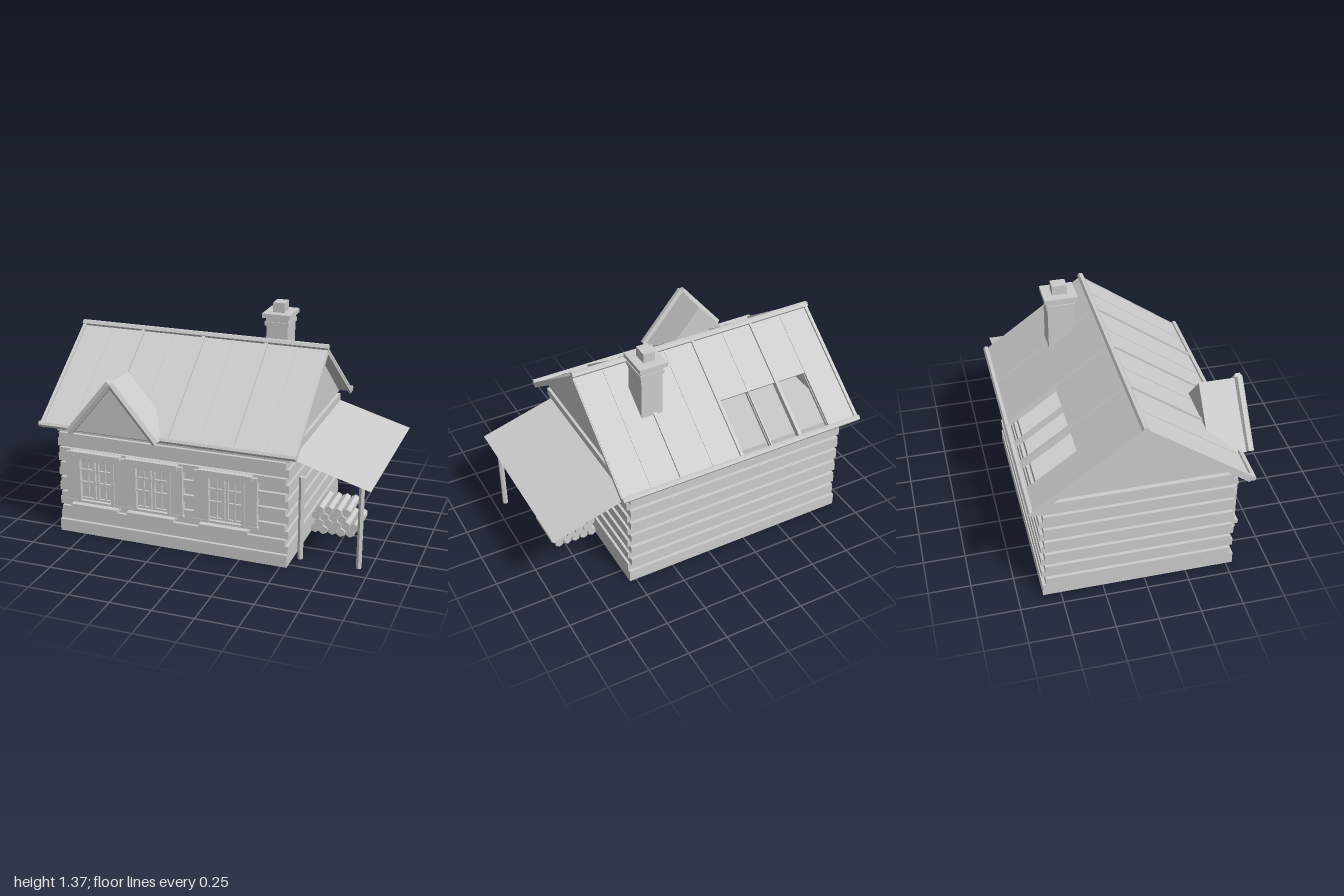
import * as THREE from 'three';

export function createModel() {
  const model = new THREE.Group();
  model.name = 'logCabin';
  const clay = new THREE.MeshStandardMaterial({ color: 0xcccccc, flatShading: true, side: THREE.DoubleSide });
  clay.name = 'plain grey';

  const add = (parent, name, geo) => {
    const m = new THREE.Mesh(geo, clay);
    m.name = name;
    parent.add(m);
    return m;
  };
  // Box given by its minimum and maximum on each axis
  const box = (parent, name, x0, x1, y0, y1, z0, z1) => {
    const m = add(parent, name, new THREE.BoxGeometry(x1 - x0, y1 - y0, z1 - z0));
    m.position.set((x0 + x1) / 2, (y0 + y1) / 2, (z0 + z1) / 2);
    return m;
  };
  // Six-sided rod between two points
  const rod = (parent, name, a, b, r) => {
    const p = new THREE.Vector3(...a), q = new THREE.Vector3(...b);
    const m = add(parent, name, new THREE.CylinderGeometry(r, r, p.distanceTo(q), 6));
    m.position.copy(p).add(q).multiplyScalar(0.5);
    m.quaternion.setFromUnitVectors(new THREE.Vector3(0, 1, 0), q.sub(p).normalize());
    return m;
  };
  const group = (name) => {
    const g = new THREE.Group();
    g.name = name;
    model.add(g);
    return g;
  };
  const plate = (points, depth) => new THREE.ExtrudeGeometry(
    new THREE.Shape(points.map(([x, y]) => new THREE.Vector2(x, y))), { depth, bevelEnabled: false });

  // Foundation and log courses with alternating corner overlaps
  const walls = group('walls');
  box(walls, 'foundation', -0.92, 0.54, 0, 0.077, -0.605, 0.54);
  const courses = 13, step = (0.7 - 0.077) / courses;
  for (let i = 0; i < courses; i++) {
    const y = 0.077 + i * step;
    if (i % 2 === 0) box(walls, 'logCourse', -0.92, 0.54, y, y + step, -0.585, 0.52);
    else box(walls, 'logCourse', -0.9, 0.525, y, y + step, -0.605, 0.54);
  }

  // Gable ends
  for (const x of [-0.91, 0.51]) {
    const gable = add(model, 'gable', plate([[-0.52, 0.715], [0.585, 0.715], [0.033, 1.145]], 0.02));
    gable.rotation.y = Math.PI / 2;
    gable.position.x = x;
  }

  // Main roof: two slopes of boards and battens, with a gap at the back
  const ridgeY = 1.165, ridgeZ = -0.033, pitch = Math.atan2(0.46, 0.63), len = 0.775;
  const seams = [-0.98, -0.79, -0.58, -0.385, -0.18, 0.01, 0.22, 0.41, 0.59];
  for (const s of [1, -1]) {
    const slope = group(s > 0 ? 'frontRoof' : 'backRoof');
    slope.position.set(0, ridgeY, ridgeZ);
    slope.rotation.x = s * pitch;
    const along = (name, x0, x1, y0, y1, end) =>
      box(slope, name, x0, x1, y0, y1, Math.min(0, s * end), Math.max(0, s * end));
    for (let i = 0; i < 8; i++) {
      const open = s < 0 && i >= 1 && i <= 3;
      const x0 = i === 0 ? -0.99 : seams[i], x1 = i === 7 ? 0.6 : seams[i + 1];
      along('roofBoard', x0, x1, -0.013, 0.002, open ? 0.405 : len);
    }
    seams.forEach((x, i) => {
      const tall = i % 2 === 0 && i < 8;
      const w = tall ? 0.01 : 0.004;
      along('batten', x - w, x + w, -0.01, tall ? 0.014 : 0.005, len);
      along('rafter', x - 0.008, x + 0.008, -0.028, -0.01, len);
    });
    const ez = ridgeZ + s * 0.627;
    rod(model, 'eaveRod', [-0.995, 0.715, ez], [0.6, 0.715, ez], 0.018);
  }
  rod(model, 'ridgeRod', [-0.995, 1.172, ridgeZ], [0.6, 1.172, ridgeZ], 0.02);

  // Front dormer with barge rods
  const dormer = group('dormer');
  add(dormer, 'dormerBody', plate([[-0.77, 0.715], [-0.21, 0.715], [-0.49, 1.042]], 0.215))
    .position.z = 0.415;
  for (const s of [1, -1]) {
    rod(dormer, 'bargeRod', [-0.49 + s * 0.275, 0.715, 0.652], [-0.49, 1.045, 0.652], 0.025);
  }

  // Chimney
  const chimney = group('chimney');
  box(chimney, 'shaft', 0.17, 0.305, 0.85, 1.285, -0.325, -0.165);
  box(chimney, 'collar', 0.162, 0.313, 1.23, 1.255, -0.332, -0.157);
  box(chimney, 'upperCollar', 0.168, 0.308, 1.255, 1.282, -0.328, -0.162);
  box(chimney, 'cap', 0.147, 0.323, 1.28, 1.307, -0.345, -0.145);
  box(chimney, 'flue', 0.2, 0.272, 1.307, 1.367, -0.29, -0.2);

  // Windows: carved frame, shutters, valance and sill
  const teeth = [[-0.165, 0.545]];
  for (let i = 0; i <= 16; i++) teeth.push([-0.125 + i * 0.25 / 16, i % 2 ? 0.495 : 0.515]);
  teeth.push([0.165, 0.545]);
  for (const cx of [-0.655, -0.29, 0.17]) {
    const win = group('window');
    win.position.x = cx;
    box(win, 'pane', -0.11, 0.11, 0.235, 0.51, 0.535, 0.543);
    for (const s of [1, -1]) {
      const pair = (name, a, b, y0, y1, z0, z1) =>
        box(win, name, Math.min(s * a, s * b), Math.max(s * a, s * b), y0, y1, z0, z1);
      pair('shutter', 0.115, 0.193, 0.235, 0.542, 0.52, 0.562);
      pair('frameSide', 0.1, 0.122, 0.225, 0.53, 0.52, 0.57);
      pair('innerStile', 0.005, 0.018, 0.25, 0.51, 0.54, 0.56);
      pair('mullion', 0.052, 0.06, 0.25, 0.51, 0.54, 0.553);
      pair('corniceEnd', 0.135, 0.168, 0.525, 0.545, 0.52, 0.578);
    }
    for (const y of [0.25, 0.355, 0.435, 0.5]) {
      box(win, 'crossBar', -0.1, 0.1, y - 0.005, y + 0.005, 0.54, 0.556);
    }
    box(win, 'cornice', -0.165, 0.165, 0.535, 0.555, 0.52, 0.578);
    box(win, 'sill', -0.15, 0.15, 0.2, 0.223, 0.52, 0.602);
    box(win, 'lowerRail', -0.2, 0.2, 0.223, 0.237, 0.52, 0.565);
    add(win, 'valance', plate(teeth, 0.02)).position.z = 0.55;
  }

  // Lean-to sheet roof on two posts
  const leanTo = group('leanTo');
  const x0 = 0.54, x1 = 1, y0 = 0.652, y1 = 0.52;
  const sheet = add(leanTo, 'leanToRoof', new THREE.PlaneGeometry(Math.hypot(x1 - x0, y0 - y1), 1.06));
  sheet.geometry.rotateX(-Math.PI / 2);
  sheet.rotation.z = Math.atan2(y1 - y0, x1 - x0);
  sheet.position.set((x0 + x1) / 2, (y0 + y1) / 2, -0.06);
  for (const x of [0.58, 0.933]) rod(leanTo, 'post', [x, 0, 0.397], [x, 0.522, 0.397], 0.017);

  // Stacked firewood
  const pile = group('firewood');
  [[0.575, 5], [0.603, 5], [0.58, 4], [0.605, 4]].forEach(([start, count], row) => {
    for (let i = 0; i < count; i++) {
      const x = start + i * 0.055, y = 0.047 + row * 0.043;
      rod(pile, 'splitLog', [x, y, -0.157], [x, y, 0.075 + 0.01 * ((i + row) % 2)], 0.028);
    }
  });

  return model;
}
